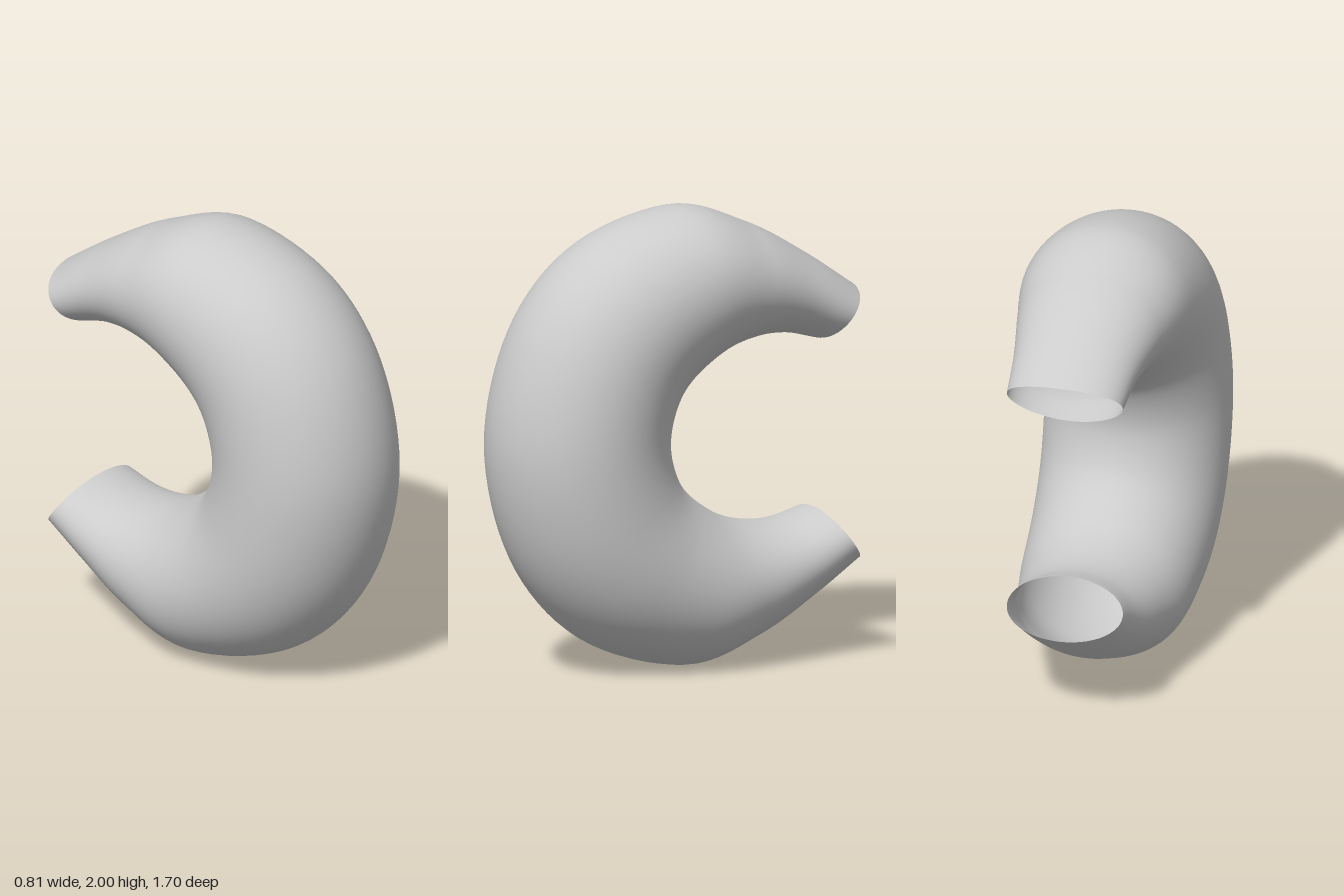
import * as THREE from 'three';
import { ParametricGeometry } from 'three/addons/geometries/ParametricGeometry.js';

// Cross-sections from the thick middle to the upper end:
// outer z, outer y, inner z, inner y, half-width (y measured from the mid height)
const SECTIONS = [
  [0.85, 0, 0.05, 0, 0.405],
  [0.73, 0.51, 0.02, 0.14, 0.402],
  [0.43, 0.855, -0.05, 0.244, 0.394],
  [-0.02, 1, -0.2, 0.352, 0.37],
  [-0.35, 0.907, -0.36, 0.403, 0.321],
  [-0.62, 0.757, -0.52, 0.408, 0.277],
  [-0.85, 0.6, -0.68, 0.37, 0.257],
];

export function createModel() {
  const group = new THREE.Group();
  group.name = 'curvedTube';

  // Mirror the sections about the mid height, running bottom to top
  const mirrored = SECTIONS.slice(1).reverse().map(([oz, oy, iz, iy, w]) => [oz, -oy, iz, -iy, w]);
  const all = [...mirrored, ...SECTIONS];
  const spline = (points) => new THREE.CatmullRomCurve3(points, false, 'catmullrom', 0.5);
  const outer = spline(all.map(([oz, oy, , , w]) => new THREE.Vector3(w, oy, oz)));
  const inner = spline(all.map(([, , iz, iy, w]) => new THREE.Vector3(w, iy, iz)));

  const o = new THREE.Vector3();
  const i = new THREE.Vector3();
  const surface = (u, v, target) => {
    outer.getPoint(v, o);
    inner.getPoint(v, i);
    const a = u * Math.PI * 2;
    const c = Math.cos(a);
    const s = Math.sin(a);
    // The open rims dip slightly inward at their sides
    const k = 2 * v - 1;
    const dip = 0.018 * s * s * k ** 8;
    target.set(
      o.x * s,
      1 + (o.y + i.y) / 2 + ((o.y - i.y) / 2) * c + dip * 0.6 * Math.sign(k),
      (o.z + i.z) / 2 + ((o.z - i.z) / 2) * c + dip * 0.8
    );
  };

  // Open tapered tube bent into a C
  const tube = new THREE.Mesh(
    new ParametricGeometry(surface, 64, 96),
    new THREE.MeshStandardMaterial({ color: 0xcccccc, side: THREE.DoubleSide })
  );
  tube.name = 'tube';
  group.add(tube);
  return group;
}
